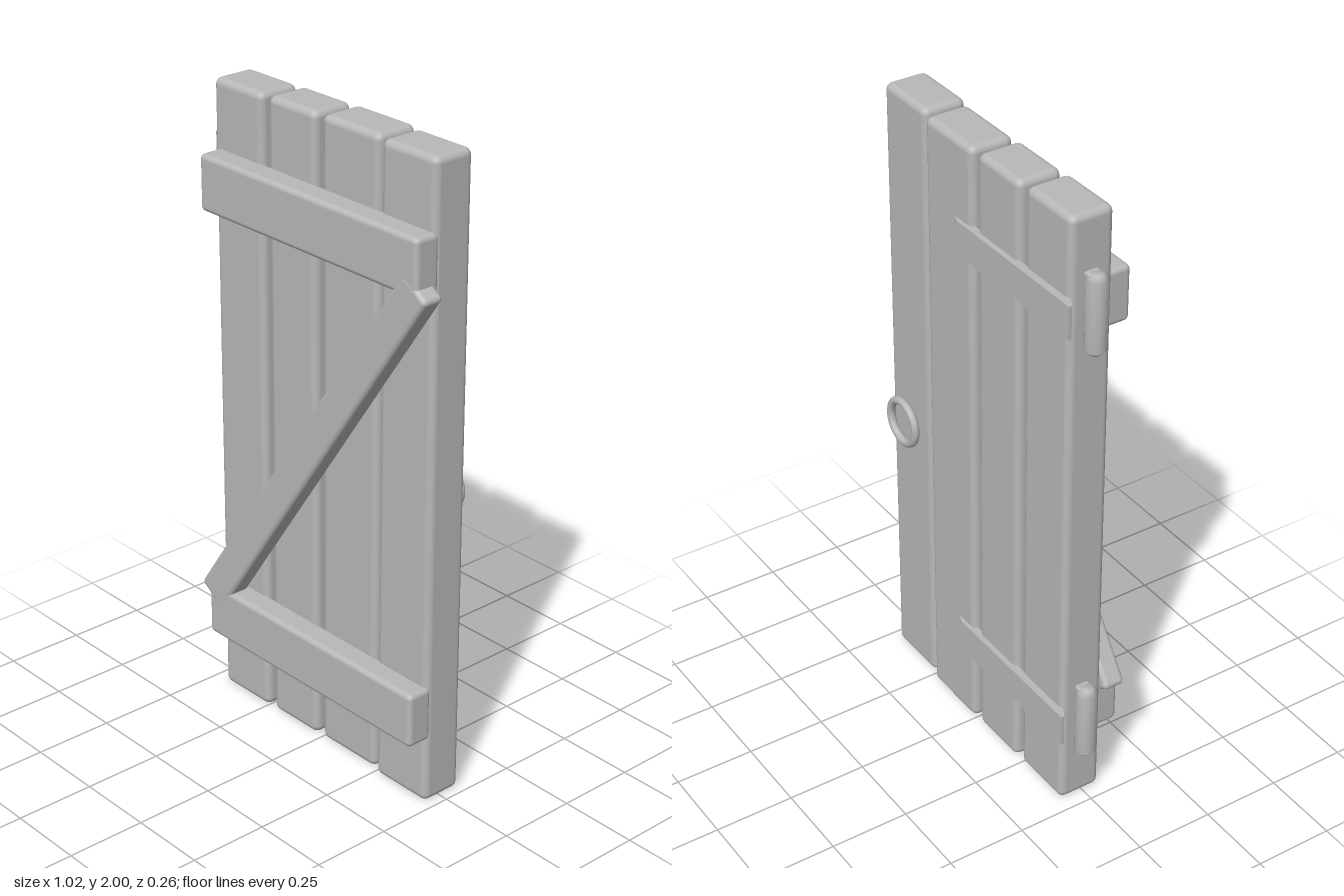
import * as THREE from 'three';
import { RoundedBoxGeometry } from 'three/addons/geometries/RoundedBoxGeometry.js';

export function createModel() {
  const group = new THREE.Group();
  group.name = 'plankDoor';
  const grey = new THREE.MeshStandardMaterial({ name: 'plain grey', color: 0xb8b8b8 });

  const add = (name, geometry, x = 0, y = 0, z = 0) => {
    const mesh = new THREE.Mesh(geometry, grey);
    mesh.name = name;
    mesh.position.set(x, y, z);
    group.add(mesh);
    return mesh;
  };
  // Rounded box given by its limits on each axis
  const block = (name, [x0, x1], [y0, y1], [z0, z1], radius) =>
    add(name, new RoundedBoxGeometry(x1 - x0, y1 - y0, z1 - z0, 3, radius),
      (x0 + x1) / 2, (y0 + y1) / 2, (z0 + z1) / 2);

  // Four upright planks, each set at a slightly different depth
  [
    [-0.455, -0.243, -0.08, 0.06],
    [-0.222, -0.02, -0.085, 0.055],
    [0.001, 0.236, -0.09, 0.05],
    [0.258, 0.473, -0.075, 0.063],
  ].forEach(([x0, x1, z0, z1], i) => block(`plank${i + 1}`, [x0, x1], [0, 2], [z0, z1], 0.022));

  // Cross rails on the front
  block('lowerRail', [-0.44, 0.474], [0.215, 0.39], [0.045, 0.13], 0.016);
  block('upperRail', [-0.44, 0.474], [1.615, 1.79], [0.045, 0.13], 0.016);

  // Diagonal brace between the rails
  const start = new THREE.Vector2(-0.43, 0.345), end = new THREE.Vector2(0.465, 1.65);
  const run = end.clone().sub(start);
  const brace = add('diagonalBrace', new RoundedBoxGeometry(run.length(), 0.115, 0.07, 3, 0.015),
    (start.x + end.x) / 2, (start.y + end.y) / 2, 0.096);
  brace.rotation.z = run.angle();

  // Strap outline seen from above, with slanted ends, extruded along y
  const strapShape = new THREE.Shape([
    [-0.483, 0.102], [0.06, 0.102], [0.083, 0.088], [0.06, 0.076], [-0.456, 0.076], [-0.483, 0.092],
  ].map(([x, y]) => new THREE.Vector2(x, y)).reverse());

  // Barrel with chamfered ends
  const barrelProfile = [[0, -0.123], [0.018, -0.123], [0.034, -0.107], [0.034, 0.107], [0.018, 0.123], [0, 0.123]]
    .map(([r, y]) => new THREE.Vector2(r, y));

  [['lower', 0.303], ['upper', 1.706]].forEach(([level, y]) => {
    const strap = new THREE.ExtrudeGeometry(strapShape, { depth: 0.105, bevelEnabled: false });
    strap.rotateX(-Math.PI / 2).translate(0, y - 0.0525, 0);
    add(`${level}HingeStrap`, strap);
    add(`${level}HingeBarrel`, new THREE.LatheGeometry(barrelProfile, 16), -0.481, y, -0.012);
    block(`${level}HingeLeaf`, [-0.475, -0.44], [y - 0.123, y + 0.123], [-0.035, 0.011], 0.008);
  });

  // Pull ring on the back
  add('pullRing', new THREE.TorusGeometry(0.069, 0.013, 10, 32), 0.337, 0.94, -0.121);

  return group;
}
